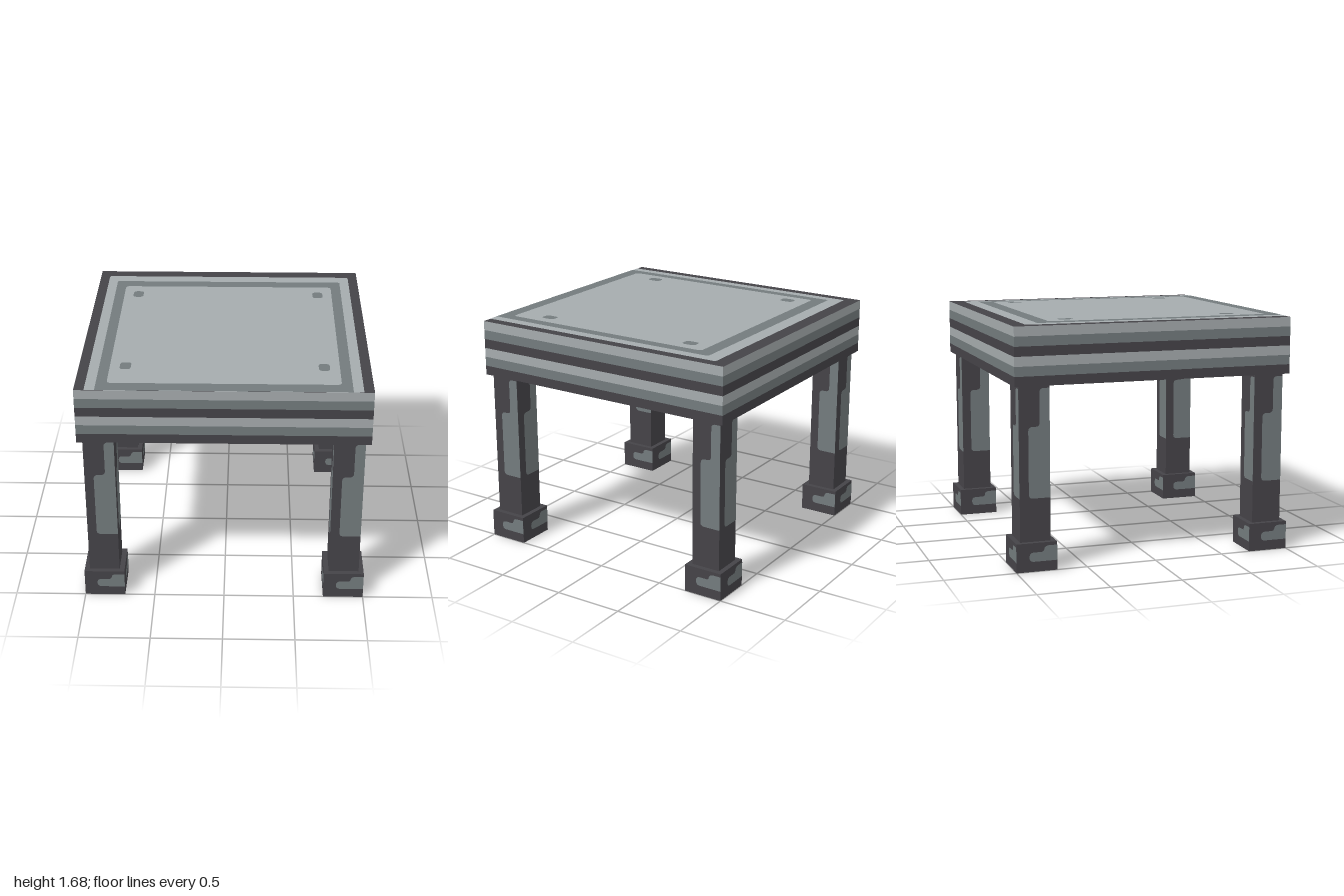
import * as THREE from 'three';

const material = (name, color) => Object.assign(new THREE.MeshStandardMaterial({ color }), { name });

// Flat shape from corners [x, y, radius]
function roundedShape(corners) {
  const shape = new THREE.Shape();
  const n = corners.length;
  corners.forEach(([x, y, r = 0], i) => {
    const p = new THREE.Vector2(x, y);
    const toward = ([qx, qy]) => new THREE.Vector2(qx, qy).sub(p).setLength(r).add(p);
    const a = toward(corners[(i + n - 1) % n]);
    const b = toward(corners[(i + 1) % n]);
    if (i === 0) shape.moveTo(a.x, a.y);
    else shape.lineTo(a.x, a.y);
    if (r > 0) shape.quadraticCurveTo(x, y, b.x, b.y);
  });
  shape.closePath();
  return shape;
}

export function createModel() {
  const model = new THREE.Group();
  model.name = 'table';
  const light = material('light grey', 0xa5abad);
  const mid = material('mid grey', 0x737b7d);
  const dark = material('dark grey', 0x454348);

  const add = (parent, name, geometry, mat) => {
    const mesh = new THREE.Mesh(geometry, mat);
    mesh.name = name;
    parent.add(mesh);
    return mesh;
  };
  const box = (parent, name, w, y0, y1, mat) => {
    const mesh = add(parent, name, new THREE.BoxGeometry(w, y1 - y0, w), mat);
    mesh.position.y = (y0 + y1) / 2;
    return mesh;
  };

  const RIM = 1.27, SLAB = 1.47, TOP = 1.67, BAND = 0.2 / 3;
  const bands = [['dark', dark], ['mid', mid], ['light', light]];

  // Solid banded slab over a hollow banded rim
  const frame = roundedShape([[-1, -1], [1, -1], [1, 1], [-1, 1]]);
  const s = 1 - 1 / 14;
  frame.holes.push(roundedShape([[-s, -s], [-s, s], [s, s], [s, -s]]));
  bands.forEach(([label, mat], i) => {
    const y = SLAB + i * BAND;
    const faces = [mat, mat, i === 2 ? dark : mat, mat, mat, mat];
    box(model, `${label} slab band`, 2, y, y + BAND, faces);
    const rim = new THREE.ExtrudeGeometry(frame, { depth: BAND, bevelEnabled: false });
    rim.rotateX(-Math.PI / 2);
    add(model, `${label} rim band`, rim, mat).position.y = RIM + i * BAND;
  });

  // Nested panels and studs, on the top (up = 1) and underside (up = -1)
  const panel = (name, x, z0, z1, r, rFront, layer, mat, up, cx = 0) => {
    const shape = roundedShape([
      [cx - x, -z0 * up, r], [cx + x, -z0 * up, r],
      [cx + x, -z1 * up, rFront], [cx - x, -z1 * up, rFront],
    ]);
    const geometry = new THREE.ShapeGeometry(shape, 6);
    geometry.rotateX(-up * Math.PI / 2);
    add(model, name, geometry, mat).position.y = (up > 0 ? TOP : SLAB) + up * layer * 0.0015;
  };
  for (const up of [1, -1]) {
    // The underside panels stop at the inside of the rim
    const end = up > 0 ? 1 : 0.99;
    panel('light border', 0.93, -0.9, end, 0.02, 0, 1, light, up);
    panel('mid border', 0.86, -0.8, end, 0.015, 0, 2, mid, up);
    panel('centre panel', 0.787, -0.7, 0.9, 0.03, 0.03, 3, light, up);
    for (const x of [-0.68, 0.68]) {
      for (const z of [-0.55, 0.65]) {
        panel('stud', 0.038, z - 0.052, z + 0.052, 0.03, 0.03, 4, mid, up, x);
      }
    }
  }

  // Worn patches, each running to the right edge of its face
  const LEG = 0.107, FOOT = 0.143;
  const legPatch = new THREE.ShapeGeometry(roundedShape([
    [LEG, 0.5], [LEG, 1.25], [0.037, 1.25, 0.03], [0.037, 0.99, 0.03],
    [-0.043, 0.99, 0.03], [-0.043, 0.5, 0.03],
  ]), 6);
  const footPatch = new THREE.ShapeGeometry(roundedShape([
    [FOOT, 0.07], [FOOT, 0.177], [0.05, 0.177, 0.035], [0.05, 0.135, 0.02],
    [-0.053, 0.135, 0.032], [-0.053, 0.07, 0.032],
  ]), 6);

  // Four legs with square feet
  for (const x of [-1, 1]) {
    for (const z of [-1, 1]) {
      const leg = new THREE.Group();
      leg.name = `${z > 0 ? 'front' : 'back'}${x > 0 ? 'Left' : 'Right'}Leg`;
      leg.position.set(x * 0.857, 0, z * 0.857);
      box(leg, 'leg post', LEG * 2, 0.2, SLAB, dark);
      box(leg, 'foot', FOOT * 2, 0, 0.2, dark);
      for (let i = 0; i < 4; i++) {
        const side = new THREE.Group();
        side.name = 'worn side';
        side.rotation.y = i * Math.PI / 2;
        add(side, 'leg patch', legPatch, mid).position.z = LEG + 0.0015;
        add(side, 'foot patch', footPatch, mid).position.z = FOOT + 0.0015;
        leg.add(side);
      }
      model.add(leg);
    }
  }
  return model;
}
